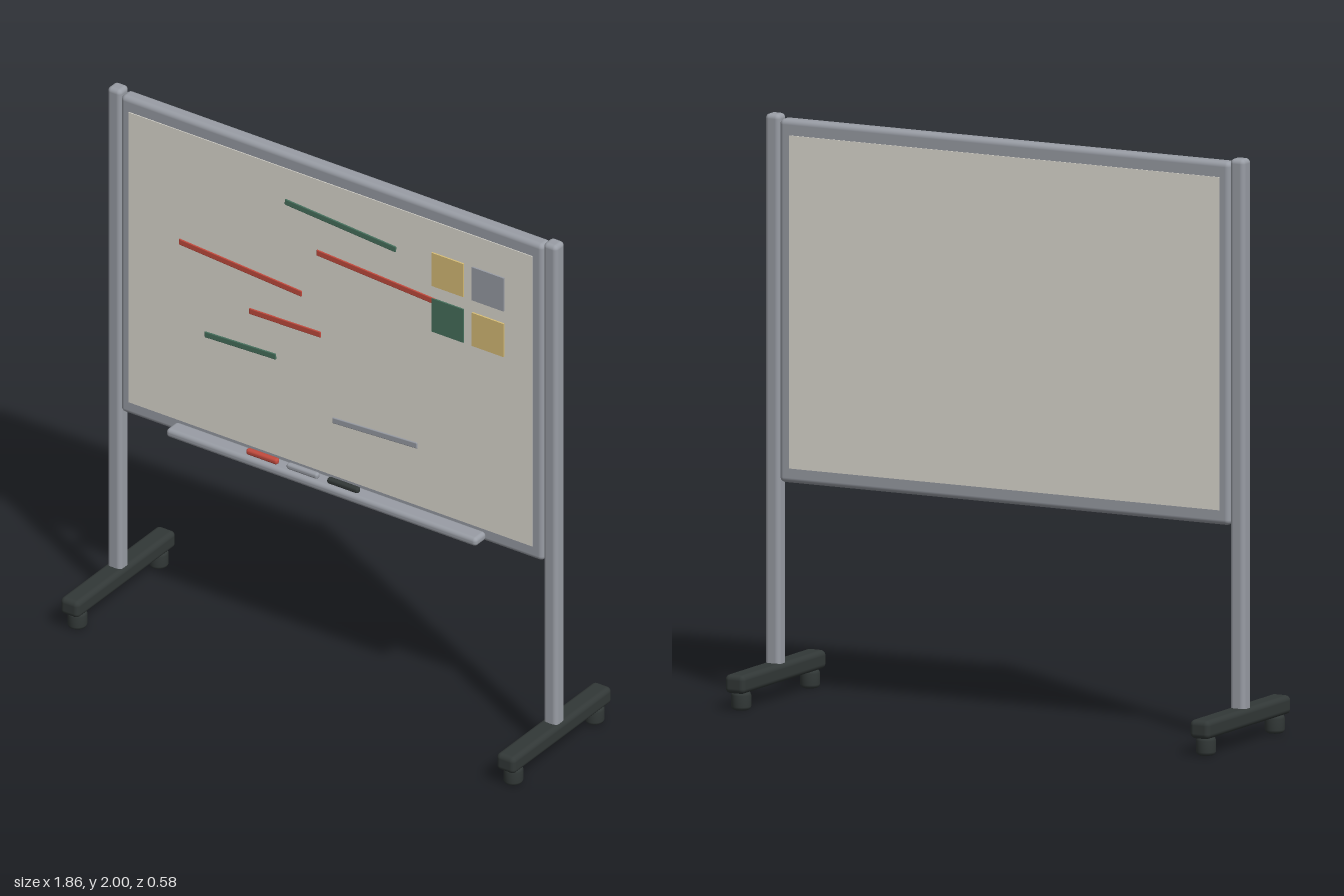
import * as THREE from 'three';
import { RoundedBoxGeometry } from 'three/addons/geometries/RoundedBoxGeometry.js';

function material(name, color) {
  const m = new THREE.MeshStandardMaterial({ color });
  m.name = name;
  return m;
}

export function createModel() {
  const model = new THREE.Group();
  model.name = 'mobileWhiteboard';

  const metal = material('brushed grey', 0x999da5);
  const white = material('board off-white', 0xdedbd2);
  const dark = material('dark rubber', 0x323837);
  const red = material('marker red', 0xc24b3e);
  const green = material('marker green', 0x47705d);
  const yellow = material('note yellow', 0xd8be78);

  function add(name, geometry, mat, x, y, z, parent = model) {
    const mesh = new THREE.Mesh(geometry, mat);
    mesh.name = name;
    mesh.position.set(x, y, z);
    parent.add(mesh);
    return mesh;
  }
  const rounded = (w, h, d, r) => new RoundedBoxGeometry(w, h, d, 4, r);

  // Frame slab with the writing panel standing slightly proud on both sides
  add('boardFrame', rounded(1.73, 1.242, 0.056, 0.018), metal, 0, 1.366, 0);
  add('writingPanel', new THREE.BoxGeometry(1.652, 1.138, 0.062), white, -0.002, 1.365, 0);

  // Caster: a short upright drum with softened rims
  const casterProfile = [[0, 0], [0.024, 0], [0.031, 0.004], [0.034, 0.012],
    [0.034, 0.05], [0.031, 0.058], [0.024, 0.064], [0, 0.064]]
    .map(([r, y]) => new THREE.Vector2(r, y));
  const casterGeometry = new THREE.LatheGeometry(casterProfile, 24);

  // Stand: post, foot bar and two casters on each side
  for (const side of [1, -1]) {
    const stand = new THREE.Group();
    stand.name = side > 0 ? 'leftStand' : 'rightStand';
    stand.position.x = side * 0.892;
    model.add(stand);
    add('post', rounded(0.056, 1.9, 0.056, 0.016), metal, 0, 1.05, 0, stand);
    add('footBar', rounded(0.076, 0.064, 0.584, 0.018), dark, 0, 0.092, 0, stand);
    for (const z of [0.24, -0.24]) add('caster', casterGeometry, dark, 0, 0, z, stand);
  }

  // Tray with three markers
  add('penTray', rounded(1.27, 0.033, 0.066, 0.014), metal, -0.002, 0.769, 0.055);
  [[-0.258, red], [-0.093, metal], [0.073, dark]].forEach(([x, mat]) =>
    add('marker', rounded(0.128, 0.022, 0.022, 0.009), mat, x, 0.794, 0.06));

  // Written strokes: start and end points on the panel
  const strokes = [
    [-0.187, 1.804, 0.268, 1.771, green],
    [-0.057, 1.649, 0.44, 1.621, red],
    [-0.62, 1.499, -0.118, 1.465, red],
    [-0.333, 1.325, -0.04, 1.331, red],
    [-0.515, 1.171, -0.223, 1.182, green],
    [0.008, 1.013, 0.355, 1.031, metal],
  ];
  for (const [x1, y1, x2, y2, mat] of strokes) {
    const length = Math.hypot(x2 - x1, y2 - y1);
    const stroke = add('writtenStroke', rounded(length, 0.023, 0.008, 0.0035), mat,
      (x1 + x2) / 2, (y1 + y2) / 2, 0.031);
    stroke.rotation.z = Math.atan2(y2 - y1, x2 - x1);
  }

  // Sticky notes in a two by two block
  const notes = [[0.481, 1.747, yellow], [0.646, 1.747, metal],
    [0.481, 1.568, green], [0.646, 1.568, yellow]];
  for (const [x, y, mat] of notes) {
    add('stickyNote', new THREE.BoxGeometry(0.13, 0.13, 0.008), mat, x, y, 0.033);
  }

  return model;
}
